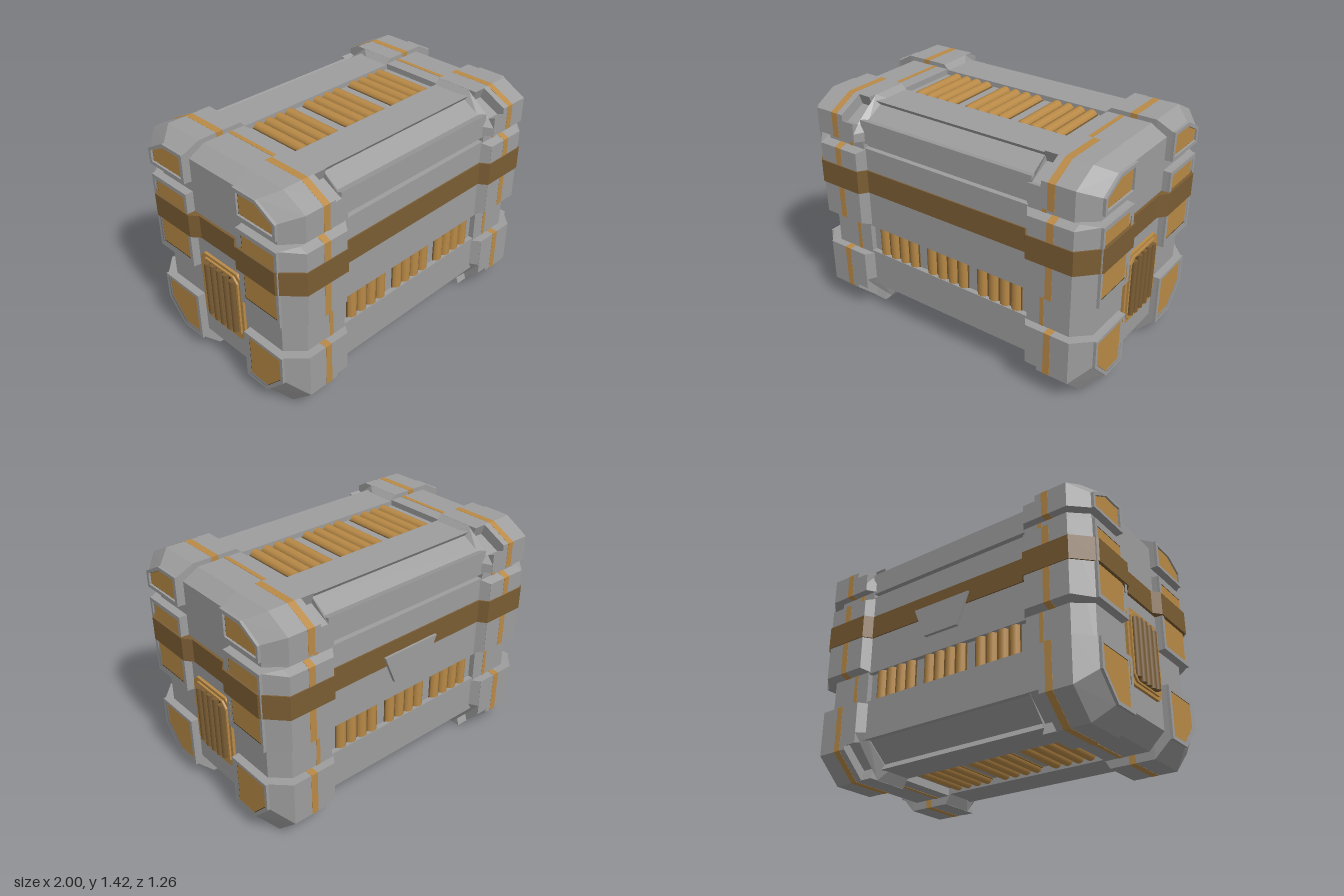
import * as THREE from 'three';
import { ConvexGeometry } from 'three/addons/geometries/ConvexGeometry.js';

const material = (color, flatShading = true) => new THREE.MeshStandardMaterial({ color, flatShading });
const grey = material(0x9d9d9d);
const gold = material(0xb98a47);
const brown = material(0x7b5d34);
const dark = material(0x453821);
const ribGold = material(0xb98a47, false);
const ribBrown = material(0x7b5d34, false);

function add(parent, name, geometry, mat = grey) {
  const mesh = new THREE.Mesh(geometry, mat);
  mesh.name = name;
  parent.add(mesh);
  return mesh;
}

// Convex solid through [x, profile] sections; profile points are [z, y]
function hull(...sections) {
  const pts = [];
  for (const [x, profile] of sections)
    for (const [z, y] of profile) pts.push(new THREE.Vector3(x, y, z));
  return new ConvexGeometry(pts);
}

// Flat [z, y] profile extruded along x from x0 to x1, with an optional hole
function slab(profile, x0, x1, hole) {
  const path = (p) => p.map(([z, y]) => new THREE.Vector2(-z, y));
  const shape = new THREE.Shape(path(profile));
  if (hole) shape.holes.push(new THREE.Path(path(hole)));
  return new THREE.ExtrudeGeometry(shape, { depth: x1 - x0, bevelEnabled: false })
    .rotateY(Math.PI / 2).translate(x0, 0, 0);
}

const grow = (profile, cz, cy, s) => profile.map(([z, y]) => [cz + (z - cz) * s, cy + (y - cy) * s]);
const bothSides = (half) => [...half, ...half.map(([z, y]) => [-z, y]).reverse()];

// Chamfered tier from its outer face at height yo to the gap at yi; h is the chamfer height
function chamferedTier(name, yo, yi, h) {
  const height = Math.abs(yi - yo);
  const profile = (z0, inner, chamfer) =>
    [[z0, inner], [z0, chamfer[0][1]], ...chamfer, [chamfer.at(-1)[0], inner]]
      .map(([z, d]) => [z, yo + Math.sign(yi - yo) * d]);
  const block = (...chamfer) => profile(0.2, height - 0.01, chamfer);
  const f1 = 0.065, f2 = f1 + h * 0.82;
  return {
    name, mid: (yo + yi) / 2,
    outer: block([0.47, 0], [0.625, h]),
    groove: block([0.475, 0], [0.453, f1], [0.583, f2], [0.625, f2 - 0.015]),
    flare: block([0.42, 0], [0.453, f1], [0.583, f2], [0.625, f2 + 0.05]),
    root: block([0.37, h * 0.4], [0.53, 0.055 + h * 0.95], [0.572, 0.1 + h * 0.95]),
    end: profile(0.21, height - 0.015, [[0.385, h * 0.65], [0.525, h * 1.62]]),
    inlay: profile(0.235, height - 0.035, [[0.38, h * 0.65 + 0.022], [0.505, h * 1.62 + 0.01]]),
  };
}

// Plain tier between the two gaps
function plainTier(name, y0, y1) {
  const rect = (z0, z1, m) => [[z0, y0 + m], [z1, y0 + m], [z1, y1 - m], [z0, y1 - m]];
  const outer = [...rect(0.2, 0.575, 0), ...rect(0.575, 0.625, 0.02).slice(1, 3)];
  outer.splice(2, 0, ...outer.splice(4, 2));
  return {
    name, mid: (y0 + y1) / 2, outer, groove: outer, flare: outer,
    root: rect(0.2, 0.572, 0), end: rect(0.21, 0.525, 0.01), inlay: rect(0.235, 0.505, 0.036),
  };
}

const tiers = [
  chamferedTier('lower', 0, 0.435, 0.15),
  plainTier('middle', 0.63, 1.133),
  chamferedTier('upper', 1.417, 1.175, 0.08),
];

function cornerColumn() {
  const g = new THREE.Group();
  g.name = 'cornerColumn';
  for (const t of tiers) {
    add(g, t.name + 'Block', hull([0.68, t.outer], [0.88, t.outer], [0.975, t.end]));
    add(g, t.name + 'InnerBlock', slab(t.groove, 0.6, 0.682));
    add(g, t.name + 'Flare', hull([0.565, t.root], [0.601, t.flare]));
    add(g, t.name + 'EndFrame', slab(t.end, 0.97, 0.992, t.inlay));
    add(g, t.name + 'InlayEdge', slab(t.inlay, 0.96, 0.979), dark);
    add(g, t.name + 'EndInlay', slab(grow(t.inlay, 0.37, t.mid, 0.955), 0.96, 0.982), gold);
    const strip = grow(t.outer, 0.35, t.mid, 1.005);
    add(g, t.name + 'Strip', hull([0.72, strip], [0.763, strip]), gold);
  }
  return g;
}

// Recessed end of the body with its vertical grille
function bodyEnd() {
  const g = new THREE.Group();
  g.name = 'bodyEnd';
  const full = bothSides([[0.38, 0.05], [0.575, 0.28], [0.575, 1.24], [0.38, 1.39]]);
  const cap = bothSides([[0.34, 0.15], [0.48, 0.32], [0.48, 1.22], [0.34, 1.33]]);
  add(g, 'endCore', hull([0.575, full], [0.85, full], [0.945, cap]));
  const strip = grow(full, 0, 0.72, 1.003);
  add(g, 'endCoreStrip', hull([0.66, strip], [0.686, strip]), gold);

  const octagon = (w, y0, y1, c) =>
    bothSides([[w - c, y0], [w, y0 + c], [w, y1 - c], [w - c, y1]]);
  const opening = octagon(0.143, 0.328, 0.73, 0.035);
  add(g, 'grilleBase', slab(octagon(0.178, 0.3, 0.76, 0.035), 0.93, 0.962, opening), gold);
  add(g, 'grilleRim', slab(octagon(0.158, 0.318, 0.742, 0.035), 0.96, 0.974, opening), gold);
  add(g, 'grilleBack', slab(opening, 0.94, 0.95), dark);
  for (let i = -2; i <= 2; i++) {
    const h = Math.abs(i) === 2 ? 0.36 : 0.385;
    add(g, 'grilleRib', new THREE.CylinderGeometry(0.019, 0.019, h, 10).translate(0.971, 0.53, i * 0.055), ribBrown);
  }
  return g;
}

// Three groups of four ribs lying in the xy plane, facing +z
function ribPanel(length) {
  const g = new THREE.Group();
  g.name = 'ribPanel';
  for (const cx of [-0.37, 0, 0.37]) {
    add(g, 'ribBacking', new THREE.BoxGeometry(0.31, length, 0.02).translate(cx, 0, 0), brown);
    for (let i = 0; i < 4; i++)
      add(g, 'rib', new THREE.CylinderGeometry(0.034, 0.034, length, 10).translate(cx + (i - 1.5) * 0.077, 0, 0), ribGold);
  }
  return g;
}

export function createModel() {
  const root = new THREE.Group();
  root.name = 'crate';
  const model = new THREE.Group();
  model.name = 'crateBody';
  model.position.x = -0.006;
  root.add(model);

  // Central core behind the plates
  const core = bothSides([[0.38, 0.1], [0.54, 0.26], [0.54, 1.26], [0.38, 1.355]]);
  add(model, 'core', hull([-0.6, core], [0.6, core]));

  // Side plates of base and lid, with sunken chamfers
  const plates = {
    bottomPlate: [[0.2, 0.06], [0.42, 0.06], [0.4, 0.095], [0.53, 0.205], [0.572, 0.2], [0.572, 0.44], [0.2, 0.44]],
    sidePlate: [[0.4, 0.62], [0.572, 0.62], [0.572, 1.14], [0.4, 1.14]],
    lidPlate: [[0.2, 1.385], [0.435, 1.385], [0.42, 1.362], [0.525, 1.3], [0.572, 1.312], [0.572, 1.17], [0.2, 1.17]],
  };
  for (const sz of [1, -1]) {
    for (const [name, p] of Object.entries(plates))
      add(model, name, slab(p, -0.59, 0.59)).scale.z = sz;
    const side = ribPanel(0.18);
    side.position.set(0, 0.53, sz * 0.536);
    side.scale.z = sz;
    model.add(side);
  }

  // Rib panels on the lid and underside
  const top = ribPanel(0.38);
  top.rotation.x = -Math.PI / 2;
  top.position.y = 1.35;
  const under = ribPanel(0.38);
  under.rotation.x = Math.PI / 2;
  under.position.y = 0.1;
  model.add(top, under);

  // Ends and corner columns
  for (const sx of [1, -1]) {
    const end = bodyEnd();
    end.scale.x = sx;
    model.add(end);
    for (const sz of [1, -1]) {
      const column = cornerColumn();
      column.scale.set(sx, 1, sz);
      model.add(column);
    }
  }

  // Belt following the outline of blocks and body
  const q = [[0.56, 0.58], [0.595, 0.631], [0.885, 0.631], [1.0, 0.51], [1.0, 0.2], [0.96, 0.15]];
  const rq = [...q].reverse();
  const outline = [
    ...q, ...rq.map(([x, z]) => [x, -z]),
    ...q.map(([x, z]) => [-x, -z]), ...rq.map(([x, z]) => [-x, z]),
  ].map(([x, z]) => new THREE.Vector2(x, z));
  add(model, 'belt', new THREE.ExtrudeGeometry(new THREE.Shape(outline), { depth: 0.145, bevelEnabled: false })
    .rotateX(-Math.PI / 2).translate(0, 0.855, 0), brown);

  // Clasp on the back
  const clasp = new THREE.Shape([[-0.2, 0.92], [-0.12, 0.73], [0.12, 0.73], [0.2, 0.92]].map((p) => new THREE.Vector2(...p)));
  add(model, 'clasp', new THREE.ExtrudeGeometry(clasp, { depth: 0.03, bevelEnabled: false }).translate(0.006, 0, -0.594));

  return root;
}
